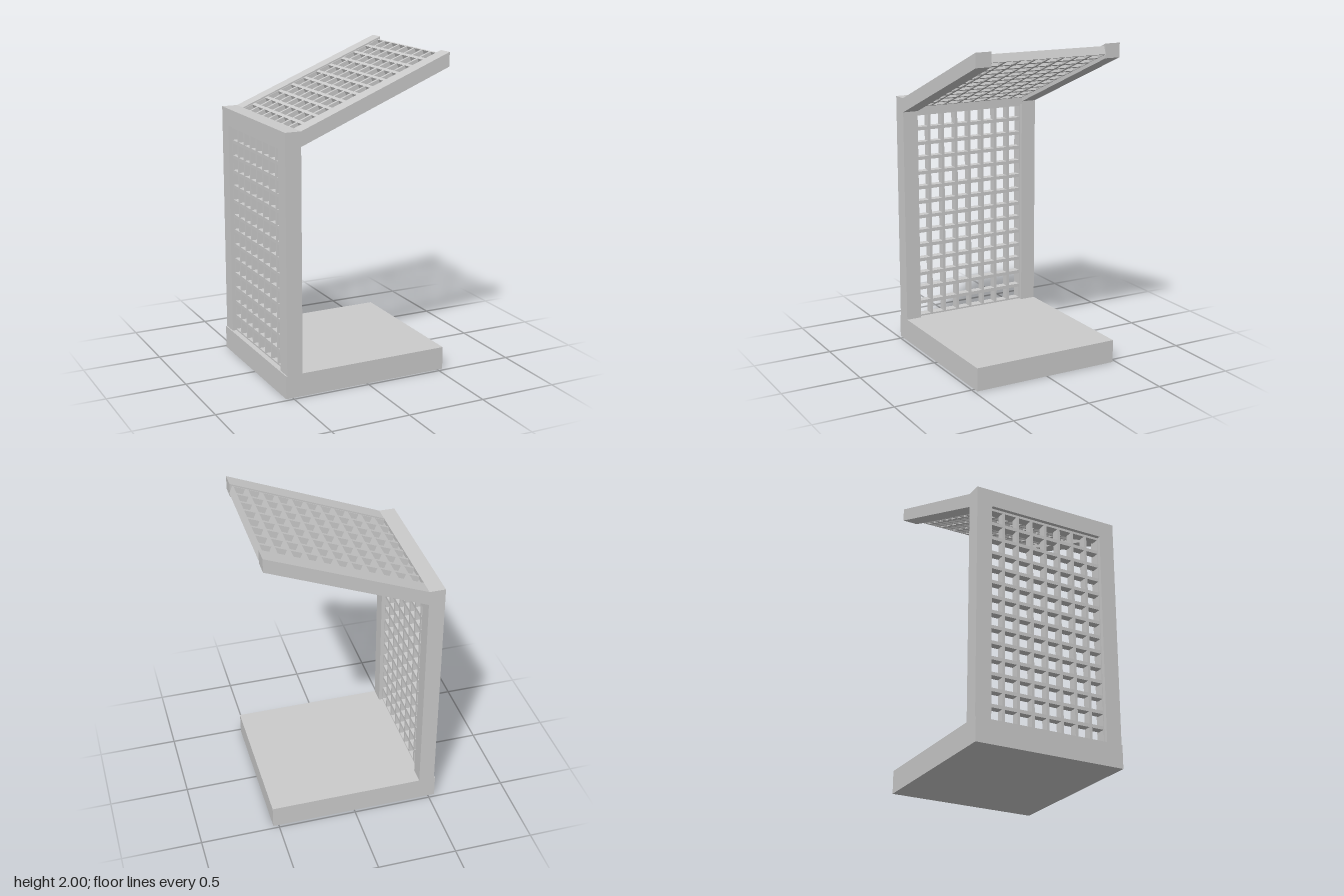
import * as THREE from 'three';

const material = new THREE.MeshStandardMaterial({ color: 0xcccccc, flatShading: true });

function addMesh(group, name, geometry) {
  const mesh = new THREE.Mesh(geometry, material);
  mesh.name = name;
  group.add(mesh);
  return mesh;
}

// Box given by its minimum and maximum corners
function addBox(group, name, min, max) {
  const size = max.map((v, i) => v - min[i]);
  const mesh = addMesh(group, name, new THREE.BoxGeometry(...size));
  mesh.position.set(...max.map((v, i) => (v + min[i]) / 2));
  return mesh;
}

// Perforated panel: runs from (x, y) at the given angle, spans z, thickens to its right-hand side
function addLattice(group, name, { x, y, angle, length, rows, firstHole, pitch, hole }) {
  const halfWidth = 0.38, columns = 8, columnPitch = 0.096, holeWidth = 0.078, depth = 0.05;
  const rect = (Type, u0, u1, v0, v1) => new Type([
    new THREE.Vector2(u0, v0), new THREE.Vector2(u1, v0),
    new THREE.Vector2(u1, v1), new THREE.Vector2(u0, v1),
  ]);
  const shape = rect(THREE.Shape, 0, length, -halfWidth, halfWidth);
  for (let r = 0; r < rows; r++) {
    for (let c = 0; c < columns; c++) {
      const u = firstHole + r * pitch;
      const v = (c - (columns - 1) / 2) * columnPitch - holeWidth / 2;
      shape.holes.push(rect(THREE.Path, u, u + hole, v, v + holeWidth));
    }
  }
  const geometry = new THREE.ExtrudeGeometry(shape, { depth, bevelEnabled: false });
  const along = new THREE.Vector3(Math.cos(angle), Math.sin(angle), 0);
  const across = new THREE.Vector3(0, 0, 1);
  const through = new THREE.Vector3().crossVectors(along, across);
  geometry.applyMatrix4(new THREE.Matrix4().makeBasis(along, across, through).setPosition(x, y, 0));
  return addMesh(group, name, geometry);
}

export function createModel() {
  const model = new THREE.Group();
  model.name = 'canopyStand';

  // Solid base slab
  addBox(model, 'base', [-0.543, 0, -0.48], [0.535, 0.145, 0.48]);

  // Bent side frames: upright post and sloping roof rail in one piece
  const profile = new THREE.Shape([
    [-0.535, 0.14], [-0.435, 0.14], [-0.435, 1.518], [0.535, 1.913],
    [0.535, 2.0], [-0.435, 1.608], [-0.535, 1.608],
  ].map(([x, y]) => new THREE.Vector2(x, y)));
  for (const [name, z] of [['frontSideFrame', 0.38], ['backSideFrame', -0.48]]) {
    const frame = addMesh(model, name,
      new THREE.ExtrudeGeometry(profile, { depth: 0.1, bevelEnabled: false }));
    frame.position.z = z;
  }

  // Cross beam where the wall meets the roof
  addBox(model, 'crossBeam', [-0.535, 1.5, -0.38], [-0.435, 1.608, 0.38]);

  // Upright lattice wall, recessed between the posts
  addLattice(model, 'wallLattice', {
    x: -0.51, y: 0.14, angle: Math.PI / 2, length: 1.365,
    rows: 14, firstHole: 0.015, pitch: 0.0965, hole: 0.075,
  });

  // Sloping lattice roof, recessed between the rails
  const slope = Math.atan2(2.0 - 1.608, 0.97);
  const length = 1.05;
  addLattice(model, 'roofLattice', {
    x: 0.52 - length * Math.cos(slope), y: 1.984 - length * Math.sin(slope),
    angle: slope, length,
    rows: 11, firstHole: 0.013, pitch: 0.0955, hole: 0.073,
  });

  return model;
}
